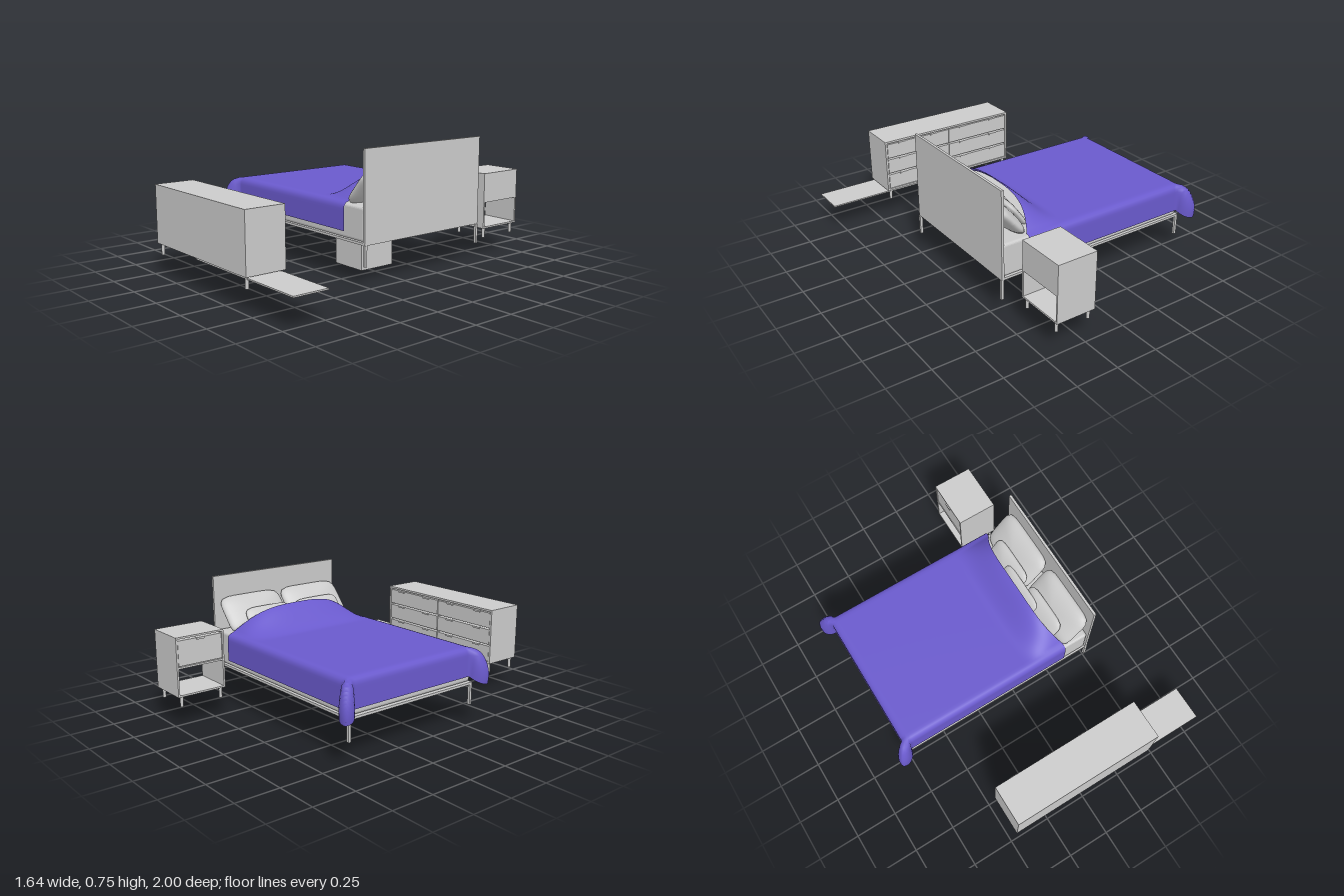
import * as THREE from 'three';

const grey = new THREE.MeshStandardMaterial({ color: 0xcccccc, side: THREE.DoubleSide });
const purple = new THREE.MeshStandardMaterial({ color: 0x6a5acd, side: THREE.DoubleSide });

// Box given by its extents along each axis
function box(parent, name, [x0, x1], [y0, y1], [z0, z1]) {
  const mesh = new THREE.Mesh(new THREE.BoxGeometry(x1 - x0, y1 - y0, z1 - z0), grey);
  mesh.position.set((x0 + x1) / 2, (y0 + y1) / 2, (z0 + z1) / 2);
  mesh.name = name;
  parent.add(mesh);
  return mesh;
}

function roundLegs(parent, name, xs, zs, y0, y1) {
  for (const x of xs) for (const z of zs) {
    const leg = new THREE.Mesh(new THREE.CylinderGeometry(0.01, 0.009, y1 - y0, 16), grey);
    leg.position.set(x, (y0 + y1) / 2, z);
    leg.name = name;
    parent.add(leg);
  }
}

// Plump squarish cushion leaning back towards the headboard
function pillow(parent, name, halfW, halfH, halfT, x, y, z, tilt) {
  const geo = new THREE.SphereGeometry(1, 40, 20).rotateX(Math.PI / 2);
  const p = geo.attributes.position;
  for (let i = 0; i < p.count; i++) {
    const px = p.getX(i), py = p.getY(i), r = Math.hypot(px, py) || 1;
    const f = Math.pow(Math.abs(px / r) ** 6 + Math.abs(py / r) ** 6, -1 / 6);
    p.setXYZ(i, px * f * halfW, py * f * halfH, p.getZ(i) * halfT);
  }
  geo.computeVertexNormals();
  const mesh = new THREE.Mesh(geo, grey);
  mesh.rotation.set(0, -Math.PI / 2, -tilt, 'ZYX');
  mesh.position.set(x, y, z);
  mesh.name = name;
  parent.add(mesh);
}

// Mattress: box with softened edges, swept from a rounded outline
function mattress(parent) {
  const r = 0.02, w = 1.22 / 2 - r, h = 0.19 / 2 - r, s = new THREE.Shape();
  s.absarc(w, h, r, 0, Math.PI / 2);
  s.absarc(-w, h, r, Math.PI / 2, Math.PI);
  s.absarc(-w, -h, r, Math.PI, Math.PI * 1.5);
  s.absarc(w, -h, r, Math.PI * 1.5, Math.PI * 2);
  const geo = new THREE.ExtrudeGeometry(s, {
    depth: 0.83, bevelSize: 0.015, bevelThickness: 0.015, bevelOffset: -0.015, bevelSegments: 4, curveSegments: 6,
  });
  const mesh = new THREE.Mesh(geo, grey);
  mesh.position.set(-0.14, 0.345, -0.5725);
  mesh.name = 'mattress';
  parent.add(mesh);
}

// Blanket: a sheet whose overhang folds down the sides and flares at the foot corners
function blanket(parent) {
  const zc = -0.1625, half = 0.445, foot = -0.764, drop = 0.162, top = 0.45, R = 0.035;
  const NX = 64, NZ = 72, edge = 12;
  const geo = new THREE.PlaneGeometry(1, 1, NX, NZ);
  const p = geo.attributes.position;
  const inX = foot + R, inZ = half - R, over = drop + R * (Math.PI / 2 - 1);
  // Follow a quarter round, then hang straight: returns [outward, down]
  const hang = (d) => {
    const a = Math.min(d / R, Math.PI / 2);
    return [R * Math.sin(a), R * (1 - Math.cos(a)) + Math.max(0, d - R * Math.PI / 2)];
  };
  for (let j = 0; j <= NZ; j++) for (let i = 0; i <= NX; i++) {
    // Overhang past the foot and past either side
    const dx = i < edge ? over * (1 - i / edge) : 0;
    const jj = Math.min(j, NZ - j), sgn = j < NZ / 2 ? -1 : 1;
    const dz = jj < edge ? over * (1 - jj / edge) : 0;
    const zin = jj < edge ? sgn * inZ : inZ * ((j - edge) / (NZ - 2 * edge) * 2 - 1);
    const s = Math.min(1, Math.abs(zin) / inZ);
    const head = 0.245 + 0.07 * s ** 4;
    const x = i < edge ? inX : inX + (head - inX) * (i - edge) / (NX - edge);
    const d = Math.max(dx, dz), [out, down] = hang(d);
    const th = Math.atan2(dx, dz), corner = Math.sin(2 * th), t = d / over;
    const flare = d > 0 ? corner * 0.085 * Math.sin(Math.min(t * 1.9, 2)) : 0;
    const ox = d > 0 ? out * Math.min(1, dx / d) : 0;
    const oz = d > 0 ? out * Math.min(1, dz / d) : 0;
    // The head end climbs over the pillows
    const k = THREE.MathUtils.smoothstep(x, 0.06, 0.27);
    const lift = 0.14 * k * (1 - s ** 3);
    const z = zin + sgn * (oz + flare * Math.cos(th));
    p.setXYZ(j * (NX + 1) + i, x - ox - flare * Math.sin(th), top + lift - down - 0.045 * corner * t * t, zc + z);
  }
  geo.computeVertexNormals();
  const mesh = new THREE.Mesh(geo, purple);
  mesh.name = 'blanket';
  parent.add(mesh);
}

function createBed() {
  const bed = new THREE.Group();
  bed.name = 'bed';
  box(bed, 'bedBase', [-0.76, 0.485], [0.236, 0.25], [-0.595, 0.28]);
  box(bed, 'headboard', [0.47, 0.485], [0.25, 0.755], [-0.595, 0.28]);
  for (const x of [-0.76, 0.472]) for (const z of [-0.595, 0.265])
    box(bed, 'bedLeg', [x, x + 0.016], [0.12, 0.236], [z, z + 0.015]);
  box(bed, 'supportBlock', [-0.04, 0.195], [0, 0.236], [-0.18, 0.055]);
  mattress(bed);
  blanket(bed);
  for (const z of [-0.365, 0.06]) pillow(bed, 'largePillow', 0.205, 0.125, 0.05, 0.387, 0.53, z, 0.72);
  for (const z of [-0.32, 0.035]) pillow(bed, 'mediumPillow', 0.155, 0.09, 0.032, 0.287, 0.497, z, 0.64);
  pillow(bed, 'smallPillow', 0.16, 0.072, 0.024, 0.253, 0.502, -0.15, 0.64);
  return bed;
}

function createDresser() {
  const g = new THREE.Group();
  g.name = 'dresser';
  const x0 = -0.465, x1 = 0.445, y0 = 0.185, y1 = 0.52, z0 = 0.76, z1 = 0.995, t = 0.012;
  box(g, 'dresserTop', [x0, x1], [y1 - t, y1], [z0, z1]);
  box(g, 'dresserBottom', [x0, x1], [y0, y0 + t], [z0, z1]);
  box(g, 'dresserBack', [x0 + t, x1 - t], [y0 + t, y1 - t], [z1 - t, z1]);
  for (const x of [x0, x1 - t]) box(g, 'dresserSide', [x, x + t], [y0 + t, y1 - t], [z0, z1]);
  const mid = (x0 + x1) / 2, rowH = (y1 - y0 - 2 * t) / 3, colW = (x1 - x0 - 2 * t) / 2;
  box(g, 'dresserDivider', [mid - 0.004, mid + 0.004], [y0 + t, y1 - t], [z0 + 0.01, z1 - t]);
  // Three rows of two drawers, each with a pair of pulls
  for (let row = 0; row < 3; row++) for (let col = 0; col < 2; col++) {
    const dx = x0 + t + col * colW, dy = y0 + t + row * rowH;
    box(g, 'drawer', [dx + 0.004, dx + colW - 0.004], [dy + 0.003, dy + rowH - 0.008], [z0 + 0.003, z1 - t]);
    for (const f of [0.24, 0.76]) {
      const hx = dx + f * colW;
      box(g, 'drawerPull', [hx - 0.025, hx + 0.025], [dy + rowH - 0.016, dy + rowH - 0.006], [z0 - 0.005, z0 + 0.01]);
    }
  }
  roundLegs(g, 'dresserLeg', [-0.44, 0.42], [0.782, 0.975], 0.12, y0);
  box(g, 'slidingBoard', [-0.065, 0.81], [0.17, 0.178], [0.775, 0.98]);
  return g;
}

function createNightstand() {
  const g = new THREE.Group();
  g.name = 'nightstand';
  const X = [0.197, 0.435], Z = [-1, -0.705], t = 0.01;
  const inner = [Z[0] + t, Z[1] - t];
  box(g, 'nightstandTop', X, [0.507, 0.517], Z);
  box(g, 'nightstandBottom', X, [0.18, 0.19], Z);
  box(g, 'nightstandShelf', X, [0.34, 0.35], inner);
  for (const z of [Z[0], Z[1] - t]) box(g, 'nightstandSide', X, [0.19, 0.507], [z, z + t]);
  box(g, 'nightstandBack', [X[1] - t, X[1]], [0.35, 0.507], inner);
  box(g, 'nightstandDrawer', [X[0] + 0.003, X[1] - t], [0.354, 0.497], [inner[0] + 0.003, inner[1] - 0.003]);
  box(g, 'nightstandPull', [X[0] - 0.005, X[0] + 0.01], [0.488, 0.499], [-0.873, -0.828]);
  roundLegs(g, 'nightstandLeg', [0.217, 0.417], [-0.972, -0.727], 0.12, 0.18);
  return g;
}

export function createModel() {
  const model = new THREE.Group();
  model.name = 'bedroomSet';
  model.add(createBed(), createDresser(), createNightstand());
  return model;
}
